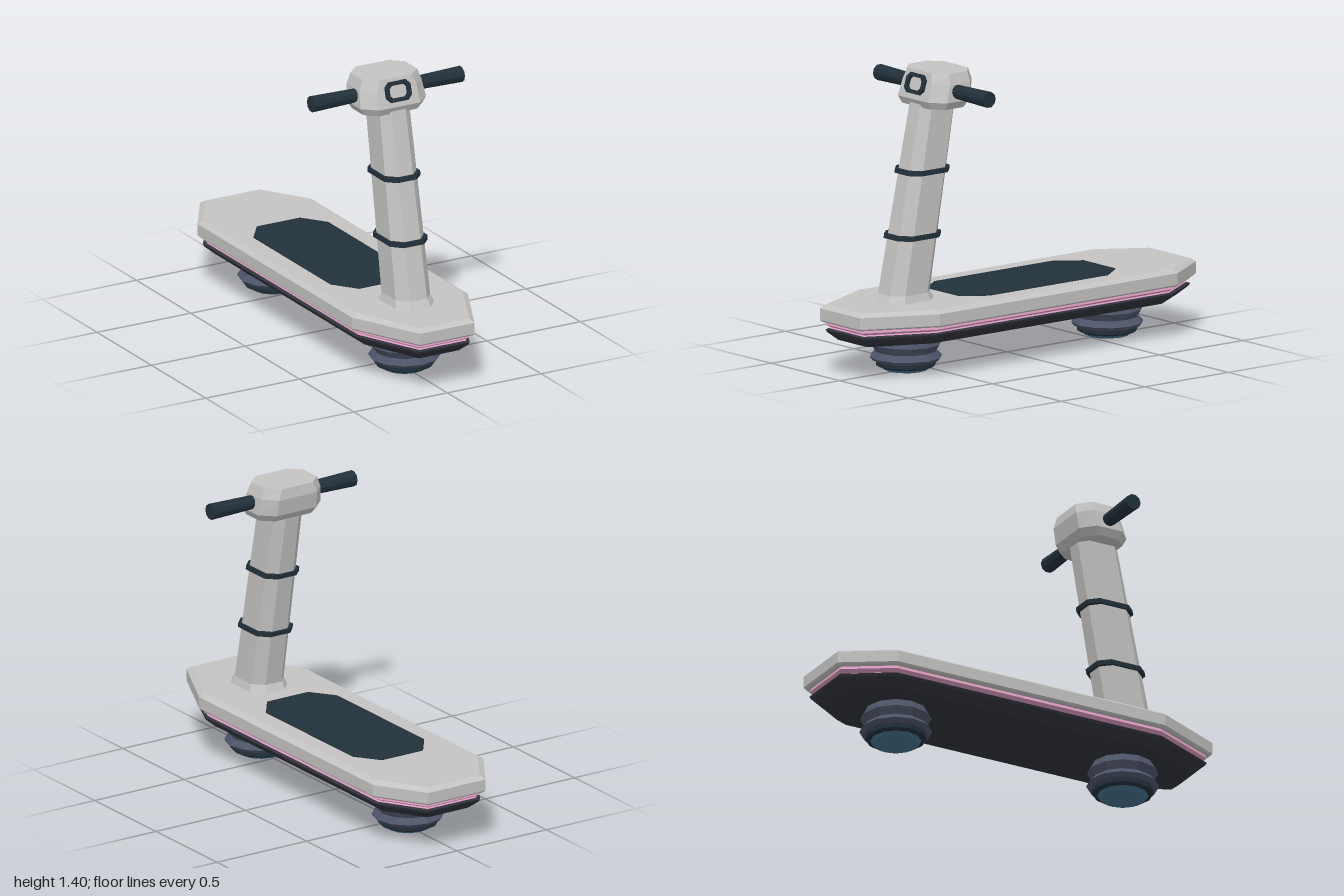
import * as THREE from 'three';

const mat = (name, color) => {
  const m = new THREE.MeshStandardMaterial({ color });
  m.name = name;
  return m;
};

// Faceted copy of a geometry: every face gets its own normal
function faceted(geo) {
  const g = geo.index ? geo.toNonIndexed() : geo;
  g.computeVertexNormals();
  return g;
}

// Closed loft through rings of [x, y, z], ordered bottom to top, each counter-clockwise from above
function loft(rings) {
  const n = rings[0].length, index = [];
  for (let r = 0; r < rings.length - 1; r++) {
    for (let i = 0; i < n; i++) {
      const j = (i + 1) % n, a = r * n, b = a + n;
      index.push(a + i, a + j, b + j, a + i, b + j, b + i);
    }
  }
  const top = (rings.length - 1) * n;
  for (let i = 1; i < n - 1; i++) {
    index.push(0, i + 1, i, top, top + i, top + i + 1);
  }
  const g = new THREE.BufferGeometry();
  g.setAttribute('position', new THREE.Float32BufferAttribute(rings.flat(2), 3));
  g.setIndex(index);
  return faceted(g);
}

// Elongated octagonal deck outline, pulled inwards by d
function deckRing(y, d) {
  const right = [[0.145 - d * 0.5, 1 - d], [0.31 - d, 0.655 - d * 0.25],
    [0.31 - d, -0.765 + d * 0.4], [0.16 - d * 0.6, -1 + d]];
  const left = right.map(([x, z]) => [-x, z]).reverse();
  return [...right, ...left].map(([x, z]) => [x, y, z]);
}

// Rectangle with cut corners, half-width w, from z0 (back) to z1 (front)
function octRing(y, w, z0, z1, cx, cz) {
  const right = [[w - cx, z1], [w, z1 - cz], [w, z0 + cz], [w - cx, z0]];
  const left = right.map(([x, z]) => [-x, z]).reverse();
  return [...right, ...left].map(([x, z]) => [x, y, z]);
}

// Outline with cut corners for flat shapes
function octPath(Type, w, h, c) {
  return new Type([[w - c, -h], [w, -h + c], [w, h - c], [w - c, h],
    [-w + c, h], [-w, h - c], [-w, -h + c], [-w + c, -h]].map(([x, y]) => new THREE.Vector2(x, y)));
}

const lathe = (pts, sides) =>
  faceted(new THREE.LatheGeometry(pts.map(([r, y]) => new THREE.Vector2(r, y)), sides));

export function createModel() {
  const group = new THREE.Group();
  const body = mat('light grey body', 0xc4c3c2);
  const dark = mat('dark rubber', 0x22303a);
  const under = mat('charcoal underside', 0x30333b);
  const pink = mat('pink trim', 0xdc9cc0);
  const hover = mat('slate thruster', 0x4d5468);
  const glow = mat('blue emitter', 0x44708c);

  const add = (name, geo, material, parent = group) => {
    const m = new THREE.Mesh(geo, material);
    m.name = name;
    parent.add(m);
    return m;
  };

  // Deck, pink trim groove and underside
  add('deck', loft([deckRing(0.255, 0.008), deckRing(0.263, 0), deckRing(0.318, 0), deckRing(0.335, 0.025)]), body);
  add('trim', loft([deckRing(0.21, 0.03), deckRing(0.228, 0.045), deckRing(0.24, 0.024), deckRing(0.257, 0.03)]), pink);
  add('underside', loft([deckRing(0.165, 0.078), deckRing(0.205, 0.03), deckRing(0.217, 0.024), deckRing(0.222, 0.04)]), under);

  // Foot pad
  add('footPad', loft([octRing(0.333, 0.2, -0.555, 0.385, 0.085, 0.115),
    octRing(0.338, 0.2, -0.555, 0.385, 0.085, 0.115)]), dark);

  // Hover thrusters under both ends
  for (const [name, z] of [['frontThruster', 0.605], ['rearThruster', -0.6]]) {
    const t = new THREE.Group();
    t.name = name;
    t.position.z = z;
    group.add(t);
    add('housing', lathe([[0, 0.046], [0.155, 0.048], [0.169, 0.065], [0.143, 0.092],
      [0.165, 0.127], [0.146, 0.168], [0, 0.168]], 12), hover);
    add('collar', lathe([[0, 0.018], [0.128, 0.018], [0.141, 0.027], [0.141, 0.05]], 12), dark, t);
    add('emitter', lathe([[0, 0], [0.1, 0.002], [0.12, 0.019]], 12), glow, t);
    const housing = group.children.pop();
    t.add(housing);
  }

  // Leaning steering column with a flared foot
  const columnRing = (y, grow = 0) => {
    const t = (y - 0.37) / 0.865;
    return octRing(y, 0.092 - 0.012 * t + grow, 0.5 - 0.155 * t - grow, 0.735 - 0.18 * t + grow,
      0.047 - 0.004 * t, 0.052 - 0.012 * t);
  };
  add('column', loft([octRing(0.33, 0.105, 0.48, 0.76, 0.05, 0.06), columnRing(0.37), columnRing(1.25)]), body);
  for (const y of [0.635, 0.935]) {
    add('columnBand', loft([columnRing(y - 0.011, 0.012), columnRing(y + 0.011, 0.012)]), dark);
  }

  // Handlebar head
  add('head', loft([
    octRing(1.235, 0.155, 0.34, 0.545, 0.055, 0.05),
    octRing(1.27, 0.175, 0.312, 0.562, 0.065, 0.06),
    octRing(1.35, 0.165, 0.297, 0.537, 0.06, 0.06),
    octRing(1.4, 0.147, 0.305, 0.522, 0.06, 0.055),
  ]), body);

  // Grips
  for (const s of [-1, 1]) {
    const grip = add(s > 0 ? 'leftGrip' : 'rightGrip',
      faceted(new THREE.CylinderGeometry(0.038, 0.032, 0.26, 10)), dark);
    grip.rotation.z = -s * Math.PI / 2;
    grip.position.set(s * 0.27, 1.315, 0.435);
  }

  // Headlight bezel
  const bezel = octPath(THREE.Shape, 0.066, 0.048, 0.022);
  bezel.holes.push(octPath(THREE.Path, 0.047, 0.03, 0.014));
  const frame = add('headlightBezel',
    faceted(new THREE.ExtrudeGeometry(bezel, { depth: 0.03, bevelEnabled: false })), dark);
  frame.position.set(0, 1.335, 0.526);
  frame.rotation.x = -0.29;

  return group;
}
